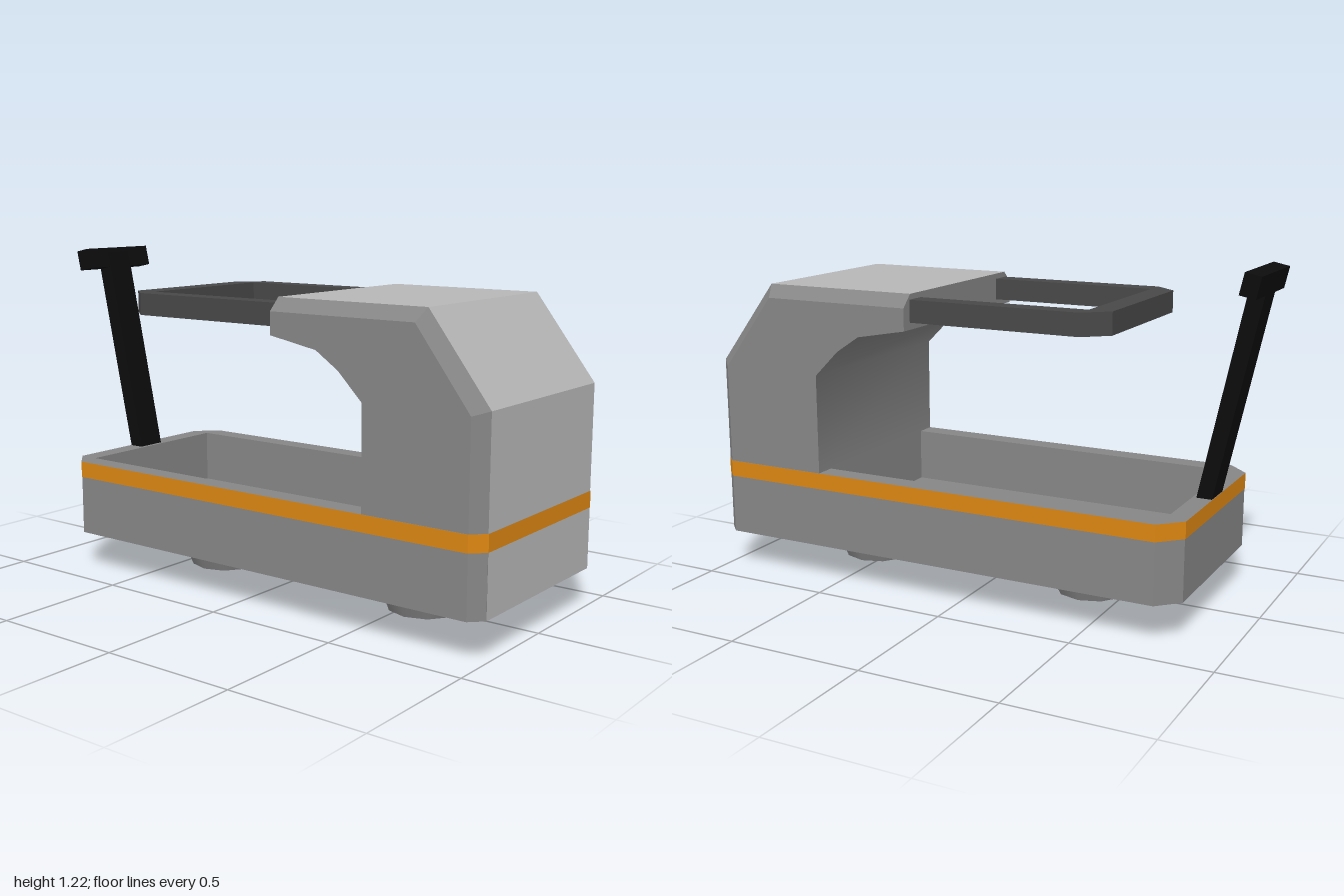
import * as THREE from 'three';
import { toCreasedNormals } from 'three/addons/utils/BufferGeometryUtils.js';

const mat = (name, color) => new THREE.MeshStandardMaterial({ name, color });

// Extrude a list of [z, y] points across x, centred on x = 0
function acrossX(points, width) {
  const shape = new THREE.Shape(points.map(([z, y]) => new THREE.Vector2(-z, y)));
  return new THREE.ExtrudeGeometry(shape, { depth: width, bevelEnabled: false })
    .translate(0, 0, -width / 2).rotateY(Math.PI / 2);
}

// Extrude a list of [x, z] points upward from y0 to y1, with an optional hole
function upward(points, y0, y1, hole) {
  const flat = (list) => list.map(([x, z]) => new THREE.Vector2(x, -z));
  const shape = new THREE.Shape(flat(points));
  if (hole) shape.holes.push(new THREE.Path(flat(hole)));
  return new THREE.ExtrudeGeometry(shape, { depth: y1 - y0, bevelEnabled: false })
    .rotateX(-Math.PI / 2).translate(0, y0, 0);
}

// Flat faces between two [z, y] profiles at xA < xB
function strip(a, xA, b, xB, edges) {
  const pos = [];
  for (const i of edges) {
    const p = [[xA, ...a[i]], [xB, ...b[i]], [xB, ...b[i + 1]], [xA, ...a[i + 1]]];
    for (const k of [0, 1, 2, 0, 2, 3]) pos.push(p[k][0], p[k][2], p[k][1]);
  }
  const g = new THREE.BufferGeometry();
  g.setAttribute('position', new THREE.Float32BufferAttribute(pos, 3));
  g.computeVertexNormals();
  return g;
}

// Hull outline: small chamfers in front, larger ones behind
function hullOutline(e) {
  const w = 0.4 + e, f = 1 + e, b = -0.83 - e;
  return [[-w, 0.955], [-0.355, f], [0.355, f], [w, 0.955],
    [w, -0.755], [0.325, b], [-0.325, b], [-w, -0.755]];
}

export function createModel() {
  const model = new THREE.Group();
  const light = mat('lightGrey', 0xb7b7b7);
  const dark = mat('darkGrey', 0x868686);
  const orange = mat('orange', 0xdc8612);
  const charcoal = mat('charcoal', 0x484848);
  const black = mat('black', 0x0c0c0c);
  const add = (name, geometry, material) => {
    const mesh = new THREE.Mesh(geometry, material);
    mesh.name = name;
    model.add(mesh);
    return mesh;
  };

  // Hull with a recessed tray
  const hull = hullOutline(0);
  const tray = [[-0.325, 0.555], [0.325, 0.555], [0.325, -0.76], [-0.325, -0.76]];
  add('hullFloor', upward(hull, 0.14, 0.22), dark);
  add('hullWalls', upward(hull, 0.22, 0.42, tray), dark);
  add('hullFrontPanel', new THREE.PlaneGeometry(0.71, 0.22).translate(0, 0.25, 1.001), light);
  add('stripe', upward(hullOutline(0.002), 0.36, 0.42, hull), [dark, orange]);

  // Cab: outer profile in the middle, inset profile at the sides
  const arch = [[0.18, 0.975], [0.37, 0.94], [0.46, 0.88], [0.555, 0.785], [0.555, 0.42]];
  const outer = [[1, 0.42], [1, 0.8], [0.77, 1.1], [0.18, 1.1], ...arch];
  const inset = [[0.955, 0.42], [0.955, 0.785], [0.75, 1.055], [0.18, 1.055], ...arch];
  add('cabCore', toCreasedNormals(acrossX(inset, 0.8), 0.85), dark);
  add('cabShell', strip(outer, -0.355, outer, 0.355, [0, 1, 2]), light);
  add('cabRearEdge', strip(outer, -0.355, outer, 0.355, [3]), dark);
  add('cabChamferRight', strip(inset, -0.4, outer, -0.355, [0, 1, 2, 3]), dark);
  add('cabChamferLeft', strip(outer, 0.355, inset, 0.4, [0, 1, 2, 3]), dark);

  // U-shaped rail behind the cab roof
  add('rail', upward([[-0.36, 0.18], [-0.36, -0.46], [-0.285, -0.545], [0.285, -0.545],
    [0.36, -0.46], [0.36, 0.18], [0.285, 0.18], [0.285, -0.46], [-0.285, -0.46],
    [-0.285, 0.18]], 1.0, 1.08), charcoal);

  // Leaning T-shaped handle
  add('handlePost', acrossX([[-0.774, 0.42], [-0.83, 0.42], [-0.995, 1.19], [-0.938, 1.2]], 0.114), black);
  add('handleGrip', acrossX([[-0.926, 1.142], [-0.983, 1.13], [-1, 1.205], [-0.943, 1.217]], 0.33), black);

  // Ten-sided hover pads underneath
  for (const [name, z] of [['front', 0.555], ['rear', -0.37]]) {
    const disc = new THREE.CylinderGeometry(0.21, 0.21, 0.06, 10).rotateY(Math.PI / 2);
    const cone = new THREE.CylinderGeometry(0.165, 0.135, 0.08, 10).rotateY(Math.PI / 2);
    add(name + 'PadDisc', disc.translate(0, 0.11, z), dark);
    add(name + 'PadCone', cone.translate(0, 0.04, z), dark);
  }
  return model;
}
